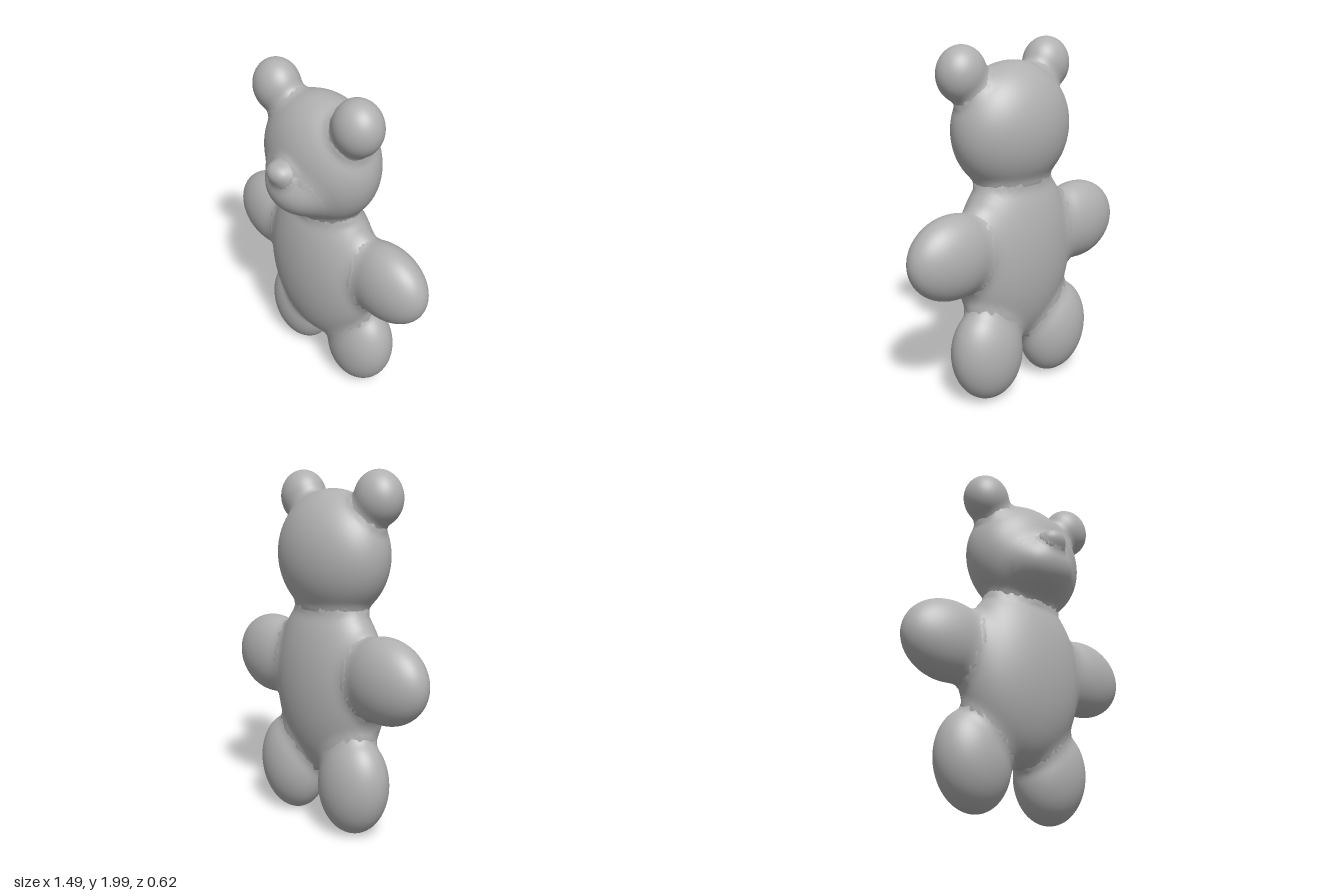
import * as THREE from 'three';
import { mergeVertices } from 'three/addons/utils/BufferGeometryUtils.js';

const BLEND = 0.06; // width of the soft fillet where two parts meet

// Each part is an ellipsoid: name, centre, radii, tilt about z
const parts = [
  { name: 'body', c: [0, 0.82, -0.075], r: [0.39, 0.54, 0.23] },
  { name: 'head', c: [0, 1.54, -0.05], r: [0.37, 0.36, 0.26] },
  { name: 'muzzle', c: [0, 1.43, 0.09], r: [0.21, 0.17, 0.19] },
  { name: 'nose', c: [0, 1.555, 0.25], r: [0.075, 0.058, 0.058], detail: 3 },
];
for (const [side, s] of [['left', 1], ['right', -1]]) {
  parts.push(
    { name: side + 'Ear', c: [0.305 * s, 1.85, -0.005], r: [0.14, 0.15, 0.125] },
    { name: side + 'Arm', c: [0.465 * s, 0.915, -0.105], r: [0.28, 0.236, 0.16] },
    { name: side + 'Leg', c: [0.26 * s, 0.29, -0.137], r: [0.223, 0.285, 0.172], tilt: -0.12 * s },
  );
}
for (const p of parts) {
  p.centre = new THREE.Vector3(...p.c);
  p.radii = new THREE.Vector3(...p.r);
  p.turn = new THREE.Quaternion().setFromAxisAngle(new THREE.Vector3(0, 0, 1), p.tilt || 0);
  p.unturn = p.turn.clone().invert();
}

// Approximate signed distance from a point to an ellipsoid
function distance(point, part) {
  const q = point.clone().sub(part.centre).applyQuaternion(part.unturn).divide(part.radii);
  const k0 = q.length();
  const k1 = q.divide(part.radii).length();
  return k1 < 1e-6 ? -1 : (k0 * (k0 - 1)) / k1;
}

// Smooth union of all ellipsoids
function field(point) {
  let d = 10;
  for (const part of parts) {
    const b = distance(point, part);
    const h = Math.max(BLEND - Math.abs(d - b), 0) / BLEND;
    d = Math.min(d, b) - (h * h * BLEND) / 4;
  }
  return d;
}

// Ellipsoid whose surface swells into a fillet near its neighbours
function blob(part) {
  let geo = new THREE.IcosahedronGeometry(1, part.detail || 14);
  geo.deleteAttribute('uv');
  geo.deleteAttribute('normal');
  geo = mergeVertices(geo, 1e-4);
  const pos = geo.attributes.position;
  const v = new THREE.Vector3();
  const n = new THREE.Vector3();
  for (let i = 0; i < pos.count; i++) {
    v.fromBufferAttribute(pos, i);
    n.copy(v).divide(part.radii).normalize().applyQuaternion(part.turn);
    v.multiply(part.radii).applyQuaternion(part.turn).add(part.centre);
    let room = BLEND * 0.5;
    for (let step = 0; step < 5 && room > 0; step++) {
      const push = Math.min(Math.max(-field(v), 0), room);
      v.addScaledVector(n, push);
      room -= push;
    }
    pos.setXYZ(i, v.x, v.y, v.z);
  }
  geo.computeVertexNormals();
  return geo;
}

export function createModel() {
  const group = new THREE.Group();
  group.name = 'teddyBear';
  const grey = new THREE.MeshStandardMaterial({ color: 0xb0b0b0 });
  grey.name = 'grey';
  for (const part of parts) {
    const mesh = new THREE.Mesh(blob(part), grey);
    mesh.name = part.name;
    group.add(mesh);
  }
  return group;
}
